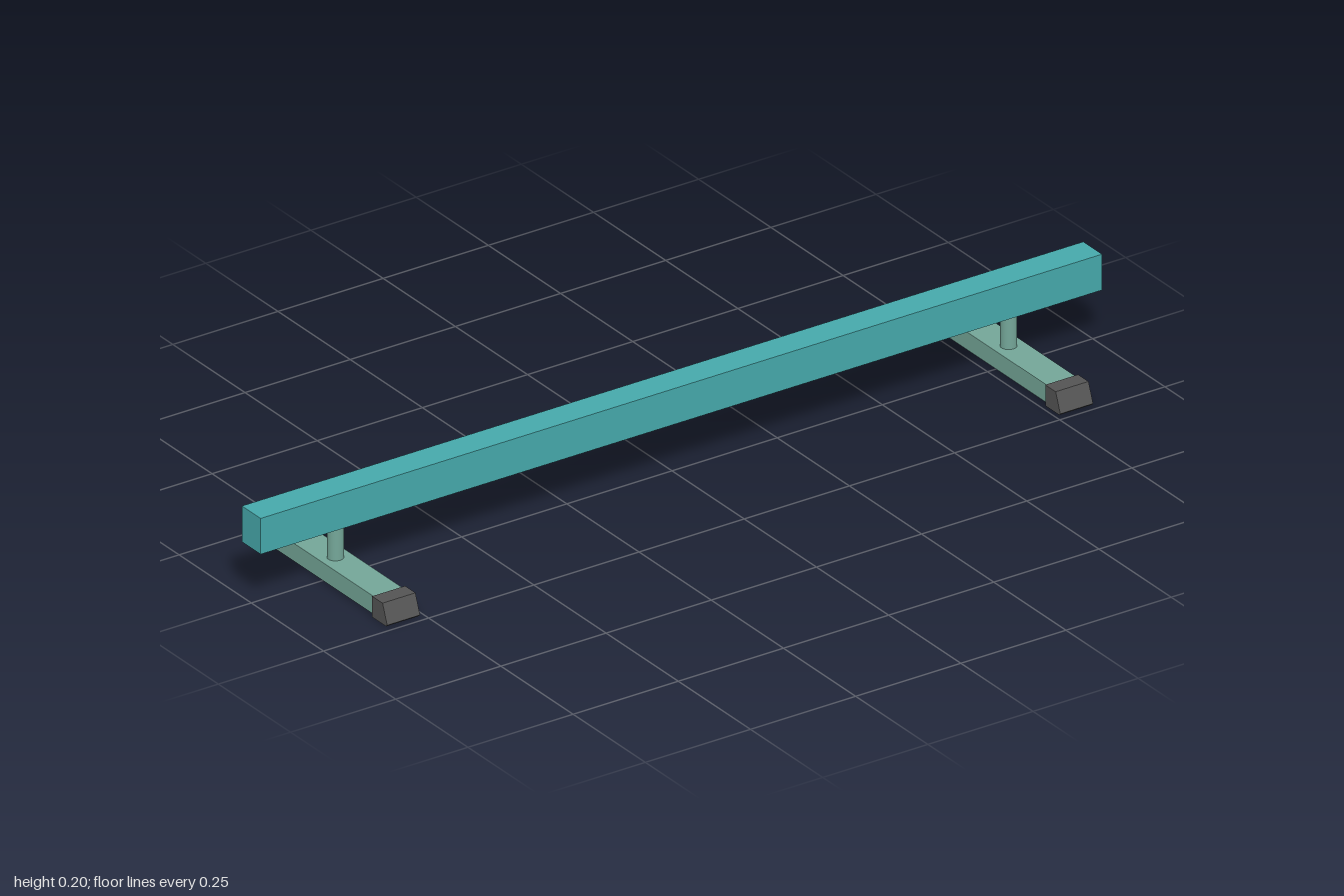
import * as THREE from 'three';

const material = (name, color) => {
  const m = new THREE.MeshStandardMaterial({ color });
  m.name = name;
  return m;
};

export function createModel() {
  const teal = material('teal', 0x46a9ab);
  const sage = material('sage green', 0x74a698);
  const rubber = material('dark rubber', 0x545454);

  const model = new THREE.Group();
  model.name = 'balanceBeam';

  const add = (parent, name, geometry, mat, x = 0, y = 0, z = 0) => {
    const mesh = new THREE.Mesh(geometry, mat);
    mesh.name = name;
    mesh.position.set(x, y, z);
    parent.add(mesh);
    return mesh;
  };

  // Long square beam
  add(model, 'beam', new THREE.BoxGeometry(2, 0.079, 0.065), teal, 0, 0.1605, 0);

  // End cap: side outline with a sloping outer face, extruded across the foot
  const outline = new THREE.Shape([
    [0.184, 0], [0.232, 0], [0.236, 0.004], [0.22, 0.046], [0.184, 0.046],
  ].map(([z, y]) => new THREE.Vector2(z, y)));
  const capGeometry = new THREE.ExtrudeGeometry(outline, { depth: 0.078, bevelEnabled: false });
  capGeometry.translate(0, 0, -0.039).rotateY(-Math.PI / 2);

  const barGeometry = new THREE.BoxGeometry(0.068, 0.039, 0.38);
  const postGeometry = new THREE.CylinderGeometry(0.017, 0.017, 0.082, 32);

  // Two stands: post, cross bar and a cap on each end
  for (const [side, x] of [['left', 0.8], ['right', -0.8]]) {
    const stand = new THREE.Group();
    stand.name = `${side}Stand`;
    stand.position.x = x;
    model.add(stand);
    add(stand, 'post', postGeometry, sage, 0, 0.082, 0);
    add(stand, 'footBar', barGeometry, sage, 0, 0.0235, 0);
    add(stand, 'frontCap', capGeometry, rubber);
    add(stand, 'backCap', capGeometry, rubber).rotation.y = Math.PI;
  }
  return model;
}
